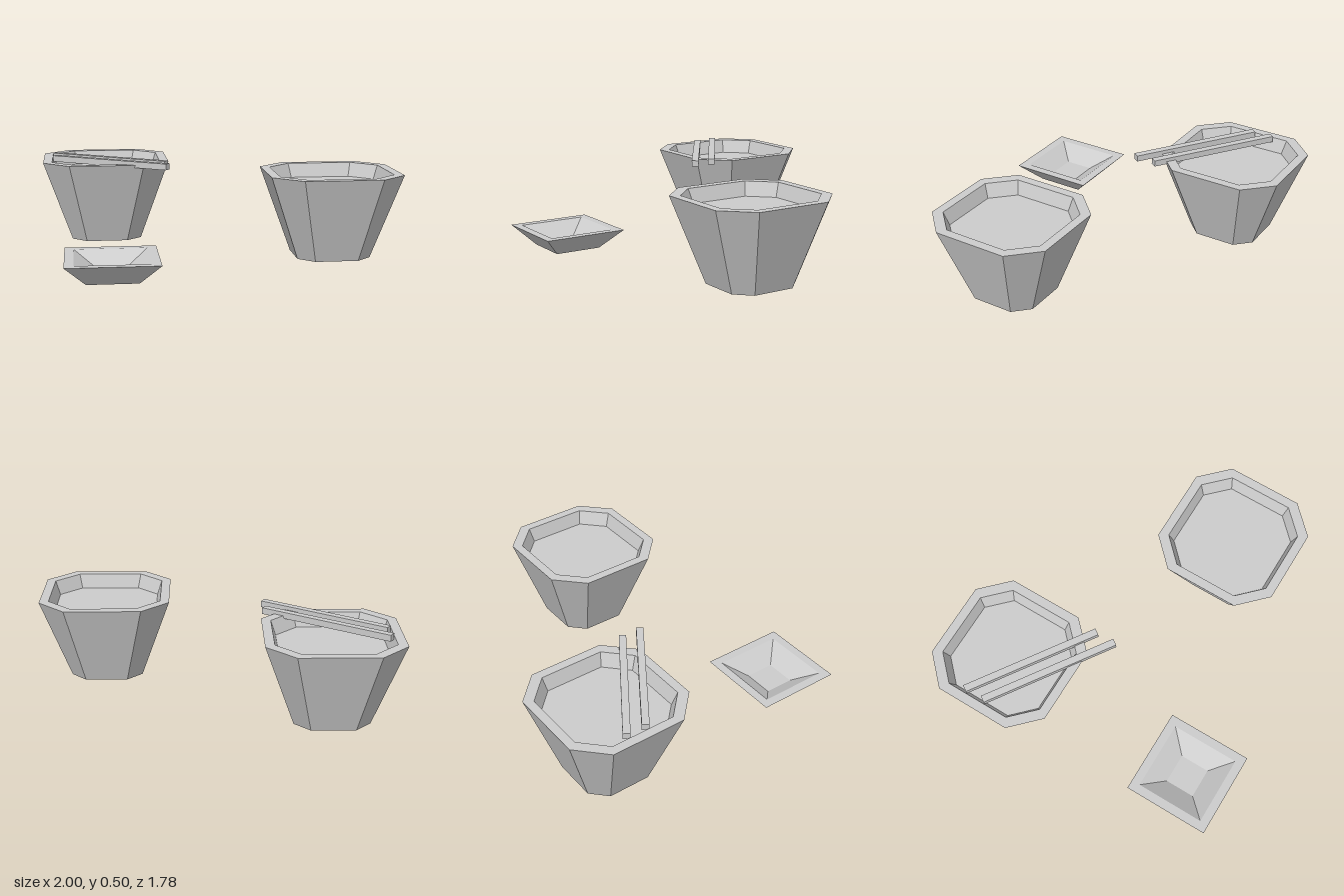
import * as THREE from 'three';

const grey = new THREE.MeshStandardMaterial({ color: 0xcccccc });
grey.name = 'plain grey';
grey.flatShading = true;

// Square ring with optional cut corners, counter-clockwise from above.
// h: half width, c: half length of each straight side (c === h gives a plain square).
function ring({ y, h, c = h }) {
  const pts = c === h
    ? [[h, h], [h, -h], [-h, -h], [-h, h]]
    : [[h, c], [h, -c], [c, -h], [-c, -h], [-h, -c], [-h, c], [-c, h], [c, h]];
  return pts.map(([x, z]) => [x, y, z]);
}

// Closed vessel: skins the rings from the base, over the rim, to the inner floor.
function vessel(name, sections, x, z) {
  const rings = sections.map(ring);
  const n = rings[0].length;
  const pos = [];
  const tri = (a, b, c) => pos.push(...a, ...b, ...c);
  for (let k = 0; k < rings.length - 1; k++) {
    const a = rings[k], b = rings[k + 1];
    for (let i = 0; i < n; i++) {
      const j = (i + 1) % n;
      tri(a[i], a[j], b[j]);
      tri(a[i], b[j], b[i]);
    }
  }
  const base = rings[0], floor = rings[rings.length - 1];
  for (let i = 1; i < n - 1; i++) {
    tri(base[0], base[i + 1], base[i]);
    tri(floor[0], floor[i], floor[i + 1]);
  }
  const geo = new THREE.BufferGeometry();
  geo.setAttribute('position', new THREE.Float32BufferAttribute(pos, 3));
  geo.computeVertexNormals();
  const mesh = new THREE.Mesh(geo, grey);
  mesh.name = name;
  mesh.position.set(x, 0, z);
  return mesh;
}

export function createModel() {
  const group = new THREE.Group();
  group.name = 'tableware';

  // Two eight-sided bowls with a shallow recess
  const bowl = [
    { y: 0, h: 0.207, c: 0.121 },
    { y: 0.48, h: 0.372, c: 0.217 },
    { y: 0.48, h: 0.32, c: 0.187 },
    { y: 0.4, h: 0.293, c: 0.171 },
  ];
  group.add(vessel('backBowl', bowl, -0.628, -0.518));
  group.add(vessel('frontBowl', bowl, 0.628, 0.193));

  // Square sauce dish
  const dish = [
    { y: 0, h: 0.138 },
    { y: 0.115, h: 0.248 },
    { y: 0.115, h: 0.198 },
    { y: 0.04, h: 0.085 },
  ];
  group.add(vessel('dish', dish, -0.627, 0.64));

  // Pair of chopsticks resting across the back bowl
  [-0.387, -0.27].forEach((z, i) => {
    const stick = new THREE.Mesh(new THREE.BoxGeometry(0.79, 0.036, 0.04), grey);
    stick.name = i ? 'frontChopstick' : 'backChopstick';
    stick.position.set(-0.606, 0.483, z);
    stick.rotation.y = -0.598;
    group.add(stick);
  });

  return group;
}
